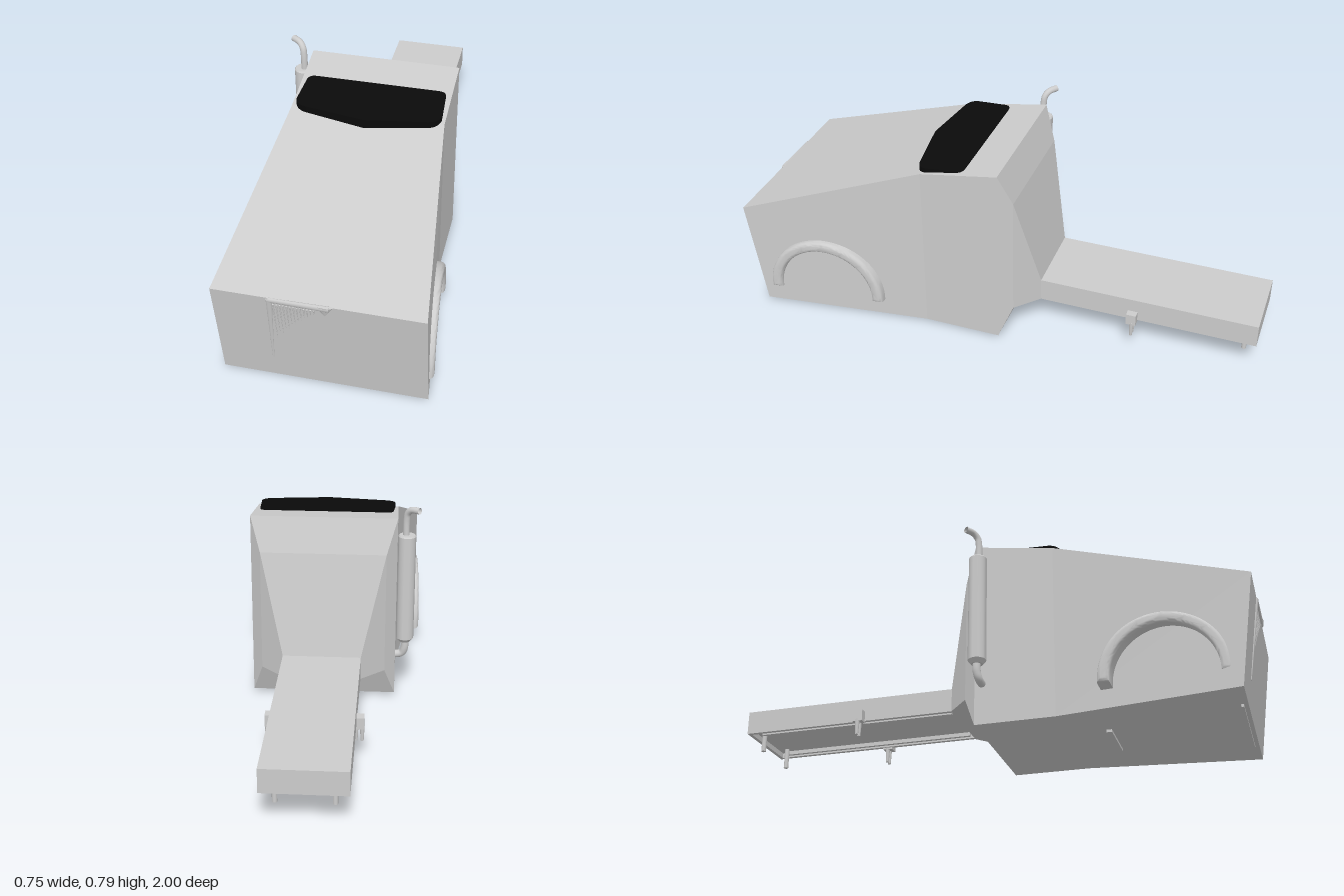
import * as THREE from 'three';
import { toCreasedNormals } from 'three/addons/utils/BufferGeometryUtils.js';

const grey = new THREE.MeshStandardMaterial({ color: 0xcccccc });
grey.name = 'bodyGrey';
const black = new THREE.MeshStandardMaterial({ color: 0x0a0a0a });
black.name = 'glassBlack';

function add(parent, name, geometry, material = grey, x = 0, y = 0, z = 0) {
  const mesh = new THREE.Mesh(geometry, material);
  mesh.name = name;
  mesh.position.set(x, y, z);
  parent.add(mesh);
  return mesh;
}

const box = (w, h, d) => new THREE.BoxGeometry(w, h, d);

// Apply a rule to every vertex
function bend(geometry, rule) {
  const p = geometry.attributes.position;
  const v = new THREE.Vector3();
  for (let i = 0; i < p.count; i++) {
    v.fromBufferAttribute(p, i);
    rule(v);
    p.setXYZ(i, v.x, v.y, v.z);
  }
  return geometry;
}

// Faceted cab lofted through rectangular sections, front to back
function cabGeometry() {
  const sections = [ // half width, bottom y, top y, bottom z, top z
    [0.365, 0.01, 0.432, 0.93, 0.99],
    [0.28, 0.01, 0.69, 0.27, 0.27],
    [0.28, 0.01, 0.74, -0.03, -0.03],
    [0.24, 0.13, 0.61, -0.078, -0.078],
    [0.15, 0.13, 0.22, -0.16, -0.16],
  ].map(([w, b, t, zb, zt]) => [[-w, b, zb], [w, b, zb], [w, t, zt], [-w, t, zt]]);
  const out = [];
  const quad = (a, b, c, d) => out.push(...a, ...b, ...c, ...a, ...c, ...d);
  quad(...sections[0]);
  for (let s = 0; s < sections.length - 1; s++) {
    const a = sections[s], b = sections[s + 1];
    for (let i = 0; i < 4; i++) {
      const j = (i + 1) % 4;
      quad(a[i], b[i], b[j], a[j]);
    }
  }
  quad(...sections.at(-1).slice().reverse());
  const g = new THREE.BufferGeometry();
  g.setAttribute('position', new THREE.Float32BufferAttribute(out, 3));
  g.computeVertexNormals();
  return g;
}

// Dark window with rounded corners and a shallow point at the front
function windowGeometry() {
  const s = new THREE.Shape();
  s.moveTo(0, -0.325);
  s.lineTo(0.22, -0.292);
  s.quadraticCurveTo(0.265, -0.285, 0.267, -0.25);
  s.lineTo(0.26, -0.135);
  s.quadraticCurveTo(0.258, -0.11, 0.23, -0.11);
  s.lineTo(-0.23, -0.11);
  s.quadraticCurveTo(-0.258, -0.11, -0.26, -0.135);
  s.lineTo(-0.267, -0.25);
  s.quadraticCurveTo(-0.265, -0.285, -0.22, -0.292);
  const g = new THREE.ExtrudeGeometry(s, { depth: 0.04, bevelEnabled: false });
  g.rotateX(-Math.PI / 2);
  bend(g, v => { v.y = v.y > 0.02 ? 0.705 + (0.325 - v.z) * 0.075 : 0.667; });
  g.computeVertexNormals();
  return g;
}

// Rounded wheel arch, slanted to follow the tapering side
function fenderGeometry(side, rearX, frontX) {
  const s = new THREE.Shape();
  const u = -side * 0.67;
  s.absarc(u, 0.095, 0.218, 0, Math.PI, false);
  s.absarc(u, 0.095, 0.202, Math.PI, 0, true);
  const g = new THREE.ExtrudeGeometry(s, {
    depth: 0.06, curveSegments: 32, bevelSize: 0.014, bevelThickness: 0.016, bevelSegments: 4,
  });
  g.rotateY(side * Math.PI / 2);
  bend(g, v => {
    const outer = THREE.MathUtils.mapLinear(v.z, 0.44, 0.88, rearX, frontX);
    v.x += side * (outer - 0.076);
  });
  return toCreasedNormals(g, 0.9);
}

function tube(points, radius) {
  const curve = new THREE.CatmullRomCurve3(points.map(p => new THREE.Vector3(...p)), false, 'centripetal');
  return new THREE.TubeGeometry(curve, 40, radius, 14);
}

export function createModel() {
  const model = new THREE.Group();
  model.name = 'truckBody';

  add(model, 'cab', cabGeometry());
  add(model, 'windshield', windowGeometry(), black);
  add(model, 'leftFender', fenderGeometry(1, 0.335, 0.375));
  add(model, 'rightFender', fenderGeometry(-1, 0.377, 0.36));

  // Chassis beam, open underneath
  const chassis = new THREE.Group();
  chassis.name = 'chassis';
  model.add(chassis);
  add(chassis, 'beamTop', box(0.3, 0.07, 0.84), grey, 0, 0.185, -0.58);
  add(chassis, 'beamRearLip', box(0.3, 0.02, 0.014), grey, 0, 0.14, -0.993);
  for (const side of [-1, 1]) {
    add(chassis, 'beamSideLip', box(0.014, 0.02, 0.84), grey, side * 0.143, 0.14, -0.58);
    add(chassis, 'innerRail', box(0.012, 0.015, 0.78), grey, side * 0.115, 0.138, -0.56);
    add(chassis, 'rearPeg', new THREE.CylinderGeometry(0.009, 0.009, 0.08, 12), grey, side * 0.1, 0.11, -0.95);

    // Forked bracket on the side of the beam
    const bracket = new THREE.Group();
    bracket.name = 'sideBracket';
    bracket.position.set(side * 0.16, 0, -0.527);
    chassis.add(bracket);
    add(bracket, 'bracketHead', box(0.036, 0.045, 0.038), grey, 0, 0.145, 0);
    for (const k of [-1, 1]) {
      add(bracket, 'bracketProng', new THREE.CylinderGeometry(0.009, 0.006, 0.06, 10), grey, k * 0.011, 0.1, -0.002);
    }
  }

  // Exhaust stack with bent outlet and inlet
  const exhaust = new THREE.Group();
  exhaust.name = 'exhaust';
  model.add(exhaust);
  const muffler = [[0, 0.23], [0.022, 0.23], [0.034, 0.245], [0.034, 0.665], [0.03, 0.67], [0, 0.67]]
    .map(([r, y]) => new THREE.Vector2(r, y));
  add(exhaust, 'muffler', toCreasedNormals(new THREE.LatheGeometry(muffler, 24), 0.6), grey, -0.316, 0, -0.01);
  const outlet = tube([[-0.312, 0.64, -0.008], [-0.312, 0.73, -0.008], [-0.316, 0.757, -0.012],
    [-0.33, 0.773, -0.024], [-0.36, 0.776, -0.045]], 0.0125);
  add(exhaust, 'outletPipe', outlet, grey).material.side = THREE.DoubleSide;
  add(exhaust, 'inletPipe', tube([[-0.316, 0.26, -0.01], [-0.316, 0.2, -0.01], [-0.305, 0.175, -0.005],
    [-0.26, 0.165, 0]], 0.015));

  // Partial grille lying on the sloped nose
  const grille = new THREE.Group();
  grille.name = 'grille';
  grille.position.set(0, 0.01, 0.931);
  grille.rotation.x = Math.atan2(0.06, 0.422);
  model.add(grille);
  const bar = add(grille, 'grilleTopBar', new THREE.CylinderGeometry(0.01, 0.013, 0.2, 12), grey, -0.06, 0.417, 0);
  bar.rotation.z = Math.PI / 2;
  bar.scale.z = 0.6;
  const leg = add(grille, 'grilleLeg', new THREE.CylinderGeometry(0.011, 0.003, 0.32, 12), grey, -0.169, 0.261, 0);
  leg.rotation.z = -0.045;
  leg.scale.z = 0.6;
  add(grille, 'grilleCorner', new THREE.SphereGeometry(0.011, 12, 8), grey, -0.16, 0.417, 0).scale.z = 0.6;
  const cap = add(grille, 'grilleCap', new THREE.ConeGeometry(0.03, 0.05, 14), grey, 0.024, 0.402, 0);
  cap.rotation.z = Math.PI;
  cap.scale.z = 0.25;
  for (let i = 0; i < 13; i++) {
    const length = 0.17 * Math.pow(1 - i / 13, 1.2) * (i % 2 ? 0.85 : 1) + 0.01;
    add(grille, 'grilleSlat', new THREE.CylinderGeometry(0.003, 0.0008, length, 6), grey,
      -0.15 + i * 0.0115, 0.398 - length / 2, 0);
  }

  // Slim strips under the cab
  add(model, 'frontStrip', box(0.42, 0.012, 0.01), grey, 0, 0.006, 0.91);
  add(model, 'middleStrip', box(0.21, 0.012, 0.02), grey, 0, 0.006, 0.425);

  return model;
}
